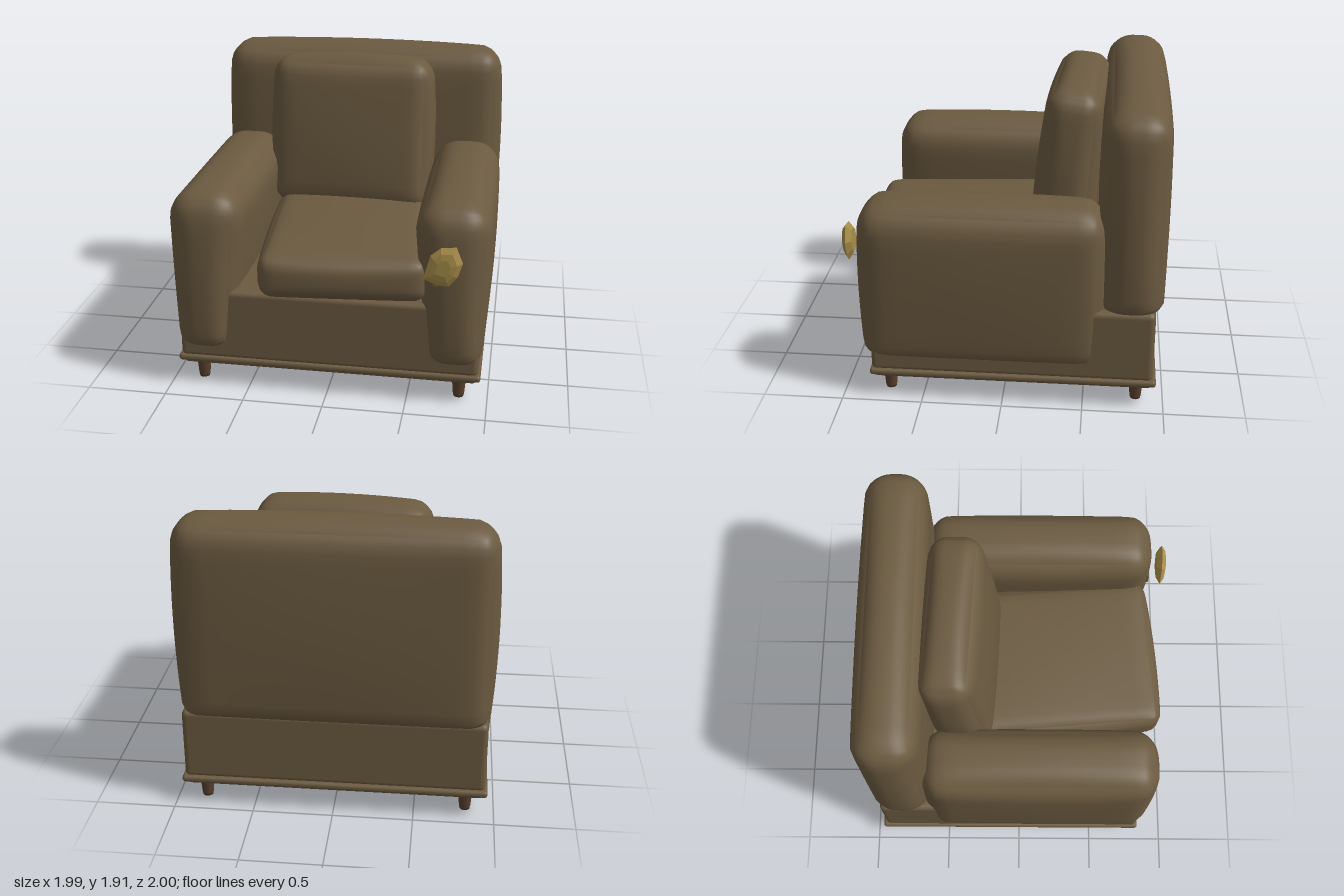
import * as THREE from 'three';
import { mergeVertices } from 'three/addons/utils/BufferGeometryUtils.js';
import { RoundedBoxGeometry } from 'three/addons/geometries/RoundedBoxGeometry.js';
import { ConvexGeometry } from 'three/addons/geometries/ConvexGeometry.js';

const fabric = new THREE.MeshStandardMaterial({ color: 0x6b5a40 });
const wood = new THREE.MeshStandardMaterial({ color: 0x5a4030 });
const gold = new THREE.MeshStandardMaterial({ color: 0xa88e4a, flatShading: true });

// Upholstered block: elliptical corner radii per axis, softer or tighter at the
// bottom, a slight swelling of the faces, and an optional warp of each vertex.
function softBlock(w, h, d, { r, bottom = r[1], bulge = 0.02, warp }) {
  const geo = new THREE.BoxGeometry(2, 2, 2, 18, 18, 18);
  const pos = geo.attributes.position;
  const half = [w / 2, h / 2, d / 2];
  const v = new THREE.Vector3();
  const dir = new THREE.Vector3();
  for (let i = 0; i < pos.count; i++) {
    v.fromBufferAttribute(pos, i);
    // crowd the grid lines toward the rounded edges
    const t = v.toArray().map((c) => Math.sin((c * Math.PI) / 2));
    const rad = [r[0], t[1] < 0 ? bottom : r[1], r[2]];
    const inner = t.map((c, k) => THREE.MathUtils.clamp(c * half[k], rad[k] - half[k], half[k] - rad[k]));
    dir.fromArray(t.map((c, k) => (c * half[k] - inner[k]) / rad[k])).normalize();
    const n = dir.toArray();
    const out = inner.map((c, k) => {
      const a = t[(k + 1) % 3], b = t[(k + 2) % 3];
      return c + n[k] * (rad[k] + bulge * ((1 - a * a) * (1 - b * b) - 0.5));
    });
    v.fromArray(out);
    if (warp) warp(v);
    pos.setXYZ(i, v.x, v.y, v.z);
  }
  geo.deleteAttribute('normal');
  geo.deleteAttribute('uv');
  const welded = mergeVertices(geo, 1e-4);
  welded.computeVertexNormals();
  return welded;
}

export function createModel() {
  const model = new THREE.Group();
  model.name = 'armchair';
  const add = (name, geo, mat, x, y, z) => {
    const mesh = new THREE.Mesh(geo, mat);
    mesh.name = name;
    mesh.position.set(x, y, z);
    model.add(mesh);
    return mesh;
  };

  // Tapered legs
  const legProfile = [[0, 0], [0.032, 0], [0.036, 0.02], [0.043, 0.11], [0.052, 0.14], [0, 0.14]]
    .map(([x, y]) => new THREE.Vector2(x, y));
  for (const x of [-0.82, 0.82])
    for (const z of [0.72, -0.83])
      add('leg', new THREE.LatheGeometry(legProfile, 16), wood, x, 0, z);

  // Bottom plate with a piped rim, and the upholstered base
  add('bottomPlate', new RoundedBoxGeometry(1.85, 0.05, 1.72, 2, 0.02), fabric, 0, 0.15, -0.06);
  add('bottomRim', new RoundedBoxGeometry(1.91, 0.045, 1.78, 3, 0.02), fabric, 0, 0.172, -0.06);
  add('base', new RoundedBoxGeometry(1.88, 0.47, 1.75, 3, 0.035), fabric, 0, 0.415, -0.055);

  // Backrest
  add('backrest', softBlock(1.92, 1.3, 0.42, { r: [0.15, 0.16, 0.18], bottom: 0.08, bulge: 0.03 }),
    fabric, 0, 1.245, -0.78);

  // Arms: rounded on top, narrowing toward the floor
  for (const side of [1, -1]) {
    const arm = softBlock(0.47, 1.06, 1.51, {
      r: [0.18, 0.18, 0.15], bottom: 0.1, bulge: 0.025,
      warp: (v) => {
        const down = THREE.MathUtils.clamp((0.35 - v.y) / 0.85, 0, 1);
        v.x = v.x * (1 - 0.24 * down) + side * 0.03 * down;
      },
    });
    add(side > 0 ? 'leftArm' : 'rightArm', arm, fabric, side * 0.757, 0.765, 0.13);
  }

  // Seat cushion, pulled askew
  const seat = add('seatCushion', softBlock(1.05, 0.3, 1.46, { r: [0.1, 0.1, 0.09], bulge: 0.025 }),
    fabric, 0.045, 0.8, 0.18);
  seat.rotation.y = 0.085;

  // Leaning back cushion, thinner toward the top
  const cushion = add('backCushion', softBlock(1.09, 1.04, 0.39, {
    r: [0.12, 0.13, 0.14], bulge: 0.035,
    warp: (v) => { v.z *= 1 - 0.12 * v.y; },
  }), fabric, -0.02, 1.36, -0.38);
  cushion.rotation.set(-0.09, -0.05, 0);

  // Small patch on the arm front and the faceted gold piece before it
  add('armPatch', new THREE.BoxGeometry(0.1, 0.1, 0.03), fabric, 0.7, 0.86, 0.875);
  const outline = [[0.7, 1.09], [0.79, 1.1], [0.83, 1], [0.8, 0.91], [0.75, 0.85], [0.68, 0.855], [0.6, 0.89], [0.64, 1.04]];
  const points = [];
  for (const [scale, z] of [[1, 0], [0.72, 0.025], [0.4, 0.033], [0.65, -0.03]])
    for (const [x, y] of outline)
      points.push(new THREE.Vector3((x - 0.715) * scale, (y - 0.975) * scale, z));
  add('goldOrnament', new ConvexGeometry(points), gold, 0.715, 0.975, 0.963);

  return model;
}
